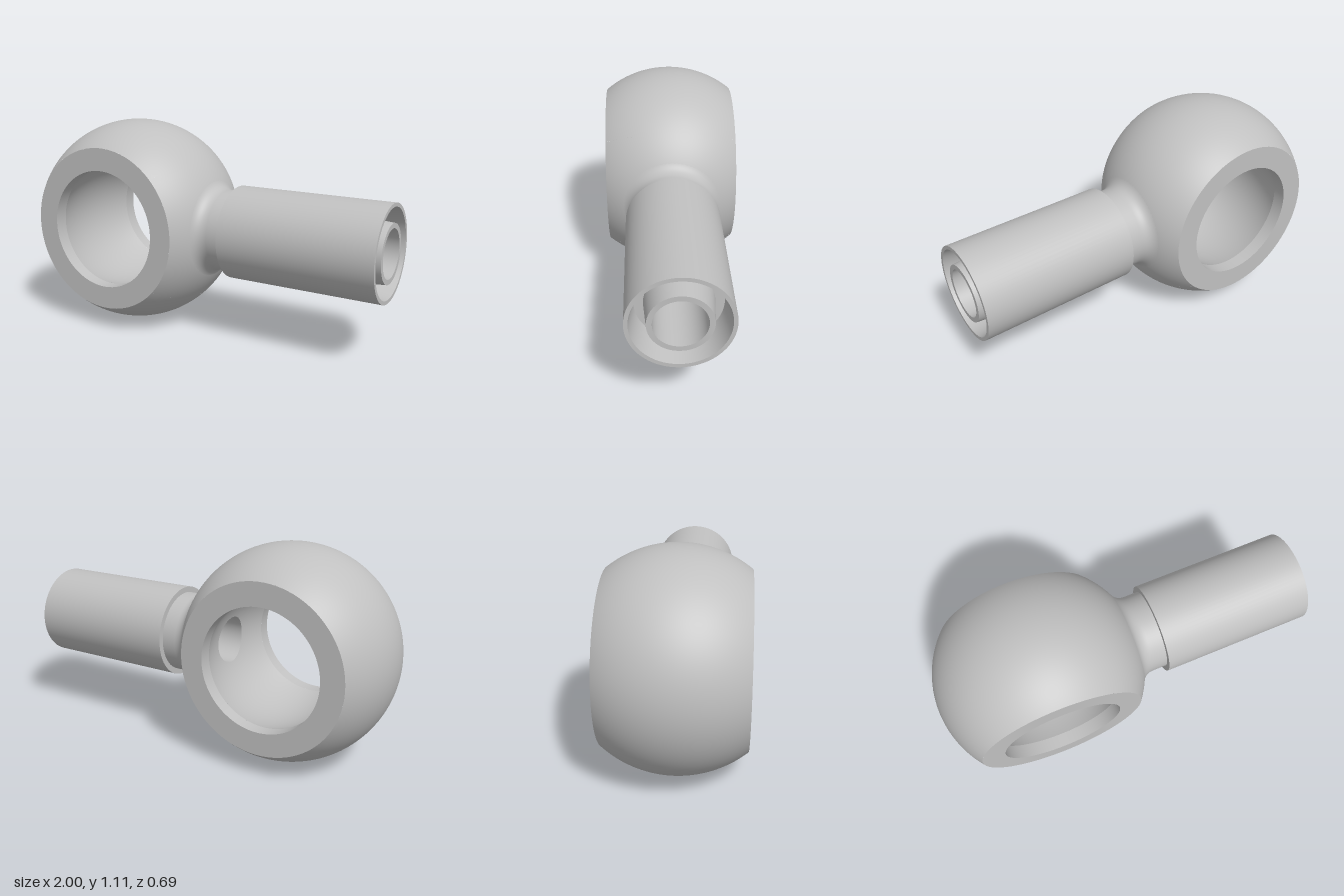
import * as THREE from 'three';
import { ParametricGeometry } from 'three/addons/geometries/ParametricGeometry.js';

const CX = -0.447, CY = 0.554;           // centre of the ball
const BALL = 0.553, HALF = 0.345;        // ball radius, half width between flats
const EYE = 0.313, GROOVE = 0.275;       // eye radius, half width of inner groove
const BORE = 0.122;

const ballRadius = (z) => Math.sqrt(BALL * BALL - z * z);
const grooveRadius = (z) => EYE + 0.047 * (1 - (z / GROOVE) ** 2);

export function createModel() {
  const model = new THREE.Group();
  const metal = new THREE.MeshStandardMaterial({ color: 0xc0c0c0 });
  metal.name = 'grey metal';

  const add = (name, geometry, x = 0, parent = model) => {
    const mesh = new THREE.Mesh(geometry, metal);
    mesh.name = name;
    mesh.position.set(x, CY, 0);
    parent.add(mesh);
    return mesh;
  };

  // Surface turned about z with a round opening on its +x side; s = 1 faces out, -1 in
  const piercedBarrel = (name, radius, half, hole, spread, s) => {
    const group = new THREE.Group();
    group.name = name;
    model.add(group);
    const place = (angle, z, p) =>
      p.set(radius(z) * Math.cos(angle), radius(z) * Math.sin(angle), z);
    add(name + 'Wall', new ParametricGeometry((u, v, p) => {
      place(s * (spread + u * (2 * Math.PI - 2 * spread)), half * (2 * v - 1), p);
    }, 80, 32), CX, group);
    // Patch blending from the round opening out to a rectangular border
    add(name + 'Opening', new ParametricGeometry((u, v, p) => {
      const a = s * u * 2 * Math.PI, sin = Math.sin(a), cos = Math.cos(a);
      const z0 = hole * cos, t0 = Math.asin(hole * sin / radius(z0));
      const k = 1 / Math.max(Math.abs(sin), Math.abs(cos));
      place(t0 + v * (spread * k * sin - t0), z0 + v * (half * k * cos - z0), p);
    }, 96, 10), CX, group);
  };

  piercedBarrel('ball', ballRadius, HALF, 0.25, 0.75, 1);
  piercedBarrel('innerGroove', grooveRadius, GROOVE, BORE, 0.6, -1);

  // Flat faces and straight lips of the eye
  for (const side of [1, -1]) {
    const flat = add(side > 0 ? 'frontFace' : 'backFace',
      new THREE.RingGeometry(EYE, Math.sqrt(BALL ** 2 - HALF ** 2), 96), CX);
    flat.position.z = side * HALF;
    if (side < 0) flat.rotation.y = Math.PI;
    const ends = [side * GROOVE, side * HALF].sort((a, b) => b - a);
    const lip = new THREE.LatheGeometry(ends.map((y) => new THREE.Vector2(EYE, y)), 96);
    add(side > 0 ? 'frontLip' : 'backLip', lip.rotateX(Math.PI / 2), CX);
  }

  // Turned parts about the x axis; points are (radius, x)
  const turned = (name, points) =>
    add(name, new THREE.LatheGeometry(points, 72).rotateZ(-Math.PI / 2));
  const v2 = (r, x) => new THREE.Vector2(r, x);

  // Neck flowing out of the ball
  const fillet = new THREE.QuadraticBezierCurve(v2(0.256, 0.043), v2(0.212, 0.066), v2(0.212, 0.115));
  turned('neck', [...fillet.getPoints(12), v2(0.212, 0.19)]);

  // Sleeve and inner nipple, one band per entry to keep edges sharp
  const FLOOR = 0.85;
  const bands = {
    sleeveShoulder: [v2(0.212, 0.19), v2(0.242, 0.19)],
    sleeve: [v2(0.242, 0.19), v2(0.242, 1)],
    sleeveRim: [v2(0.242, 1), v2(0.223, 1)],
    sleeveInside: [v2(0.223, 1), v2(0.2, FLOOR)],
    sleeveFloor: [v2(0.2, FLOOR), v2(0.158, FLOOR)],
    nipple: [v2(0.158, FLOOR), v2(0.147, 1)],
    nippleRim: [v2(0.147, 1), v2(BORE, 1)],
  };
  for (const [name, points] of Object.entries(bands)) turned(name, points);

  // Through bore, trimmed to the groove wall
  add('bore', new ParametricGeometry((u, v, p) => {
    const a = -u * 2 * Math.PI, y = BORE * Math.sin(a), z = BORE * Math.cos(a);
    const start = CX + Math.sqrt(grooveRadius(z) ** 2 - y * y);
    p.set(start + v * (1 - start), y, z);
  }, 96, 2));
  // Bore normals must face its axis
  const bore = model.getObjectByName('bore').geometry;
  const pos = bore.attributes.position, nor = bore.attributes.normal;
  if (pos.getY(5) * nor.getY(5) + pos.getZ(5) * nor.getZ(5) > 0) {
    const index = bore.index.array;
    for (let i = 0; i < index.length; i += 3) [index[i], index[i + 1]] = [index[i + 1], index[i]];
    for (let i = 0; i < nor.count; i++) nor.setXYZ(i, -nor.getX(i), -nor.getY(i), -nor.getZ(i));
  }
  return model;
}
